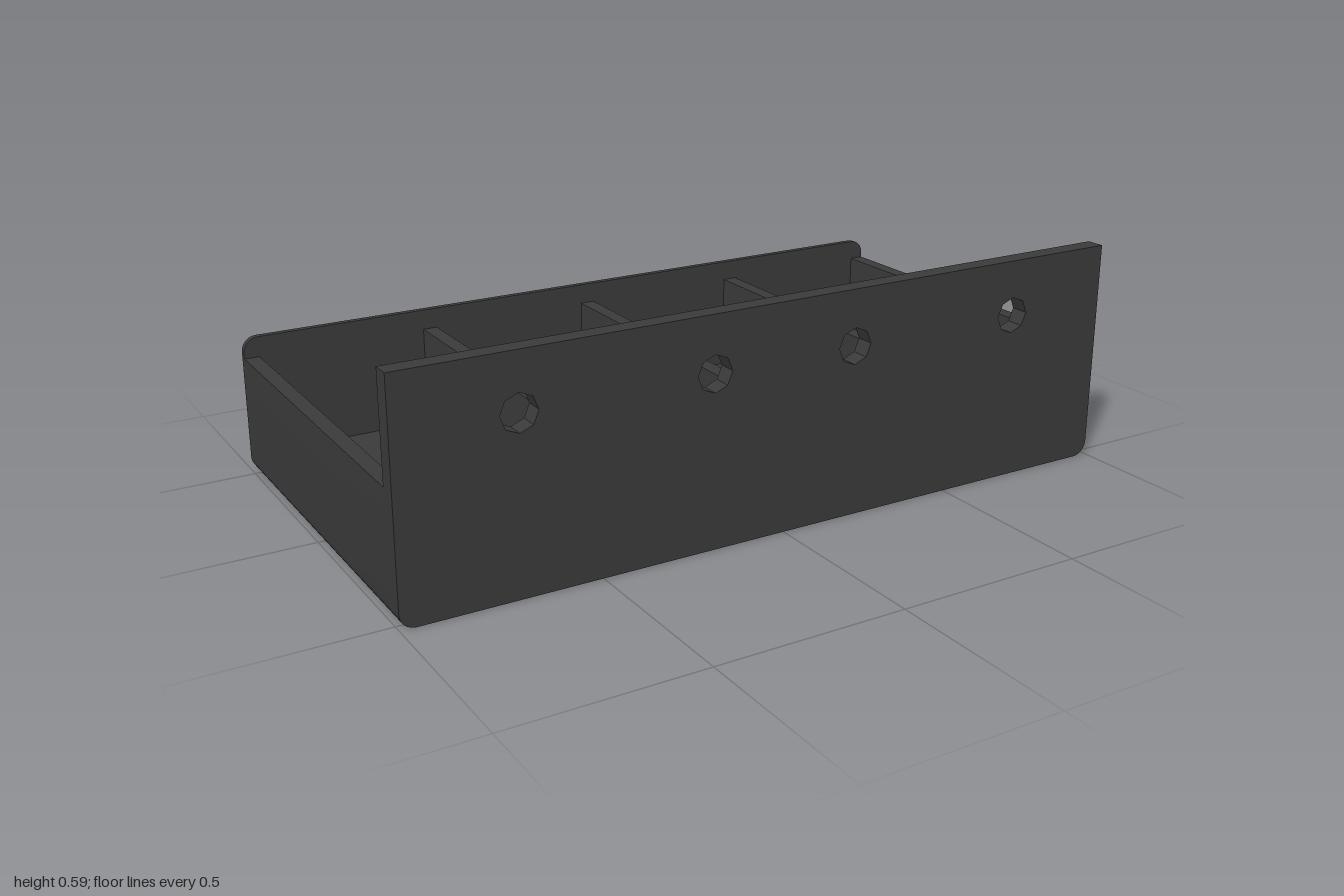
import * as THREE from 'three';
import { toCreasedNormals } from 'three/addons/utils/BufferGeometryUtils.js';

const WALL = 0.04, R = 0.04, FRONT = 0.525, BACK = -0.525, PANEL = 0.477;
const RIM = -0.507, SIDE_TOP = 0.32, FLOOR = 0.05, INNER = 1 - WALL;

// Upright rectangle with rounded bottom corners
function plate(w, y0, y1, r) {
  const s = new THREE.Shape(), x = w / 2;
  s.moveTo(-x + r, y0);
  s.lineTo(x - r, y0);
  if (r) s.absarc(x - r, y0 + r, r, -Math.PI / 2, 0, false);
  s.lineTo(x, y1);
  s.lineTo(-x, y1);
  s.lineTo(-x, y0 + r);
  if (r) s.absarc(-x + r, y0 + r, r, Math.PI, Math.PI * 1.5, false);
  return s;
}

export function createModel() {
  const model = new THREE.Group();
  const charcoal = new THREE.MeshStandardMaterial({ color: 0x3a3a3a, side: THREE.DoubleSide });
  charcoal.name = 'charcoal';

  // Extrude an outline between two z positions, optionally leaving the ends open
  function add(name, shape, z0, z1, open = false) {
    let geo = new THREE.ExtrudeGeometry(shape, { depth: z1 - z0, bevelEnabled: false, curveSegments: 4 });
    if (open) {
      const walls = geo.groups[1].start * 3;
      const skin = new THREE.BufferGeometry();
      skin.setAttribute('position', new THREE.BufferAttribute(geo.attributes.position.array.slice(walls), 3));
      geo = skin;
    }
    geo.translate(0, 0, z0);
    const mesh = new THREE.Mesh(toCreasedNormals(geo, 0.6), charcoal);
    mesh.name = name;
    model.add(mesh);
    return mesh;
  }

  // Tall front panel with a row of holes
  const front = plate(2, 0, 0.59, R);
  for (const x of [-0.7, -0.2, 0.2, 0.7]) {
    const hole = new THREE.Path();
    hole.absarc(x, 0.445, 0.047, 0, Math.PI * 2, true);
    front.holes.push(hole);
  }
  add('frontPanel', front, PANEL, FRONT);

  // Hollow channel-shaped tray, open at its ends: floor and two side walls
  const tray = new THREE.Shape();
  tray.moveTo(-1 + R, 0);
  tray.lineTo(1 - R, 0);
  tray.absarc(1 - R, R, R, -Math.PI / 2, 0, false);
  tray.lineTo(1, SIDE_TOP);
  tray.lineTo(INNER, SIDE_TOP);
  tray.lineTo(INNER, FLOOR);
  tray.lineTo(-INNER, FLOOR);
  tray.lineTo(-INNER, SIDE_TOP);
  tray.lineTo(-1, SIDE_TOP);
  tray.lineTo(-1, R);
  tray.absarc(-1 + R, R, R, Math.PI, Math.PI * 1.5, false);
  add('tray', tray, BACK, PANEL, true);

  // Back wall between the sides, with a wider rounded lip on top
  const back = new THREE.Shape(), top = 0.375;
  back.moveTo(-INNER, FLOOR);
  back.lineTo(INNER, FLOOR);
  back.lineTo(INNER, SIDE_TOP);
  back.lineTo(1, SIDE_TOP);
  back.lineTo(1, top - R);
  back.absarc(1 - R, top - R, R, 0, Math.PI / 2, false);
  back.lineTo(-1 + R, top);
  back.absarc(-1 + R, top - R, R, Math.PI / 2, Math.PI, false);
  back.lineTo(-1, SIDE_TOP);
  back.lineTo(-INNER, SIDE_TOP);
  add('backWall', back, BACK, RIM);

  // Dividers between the four compartments
  for (const x of [-0.48, 0.01, 0.5]) {
    const divider = add('divider', plate(WALL, FLOOR, SIDE_TOP, 0), RIM, PANEL);
    divider.position.x = x;
  }
  return model;
}
